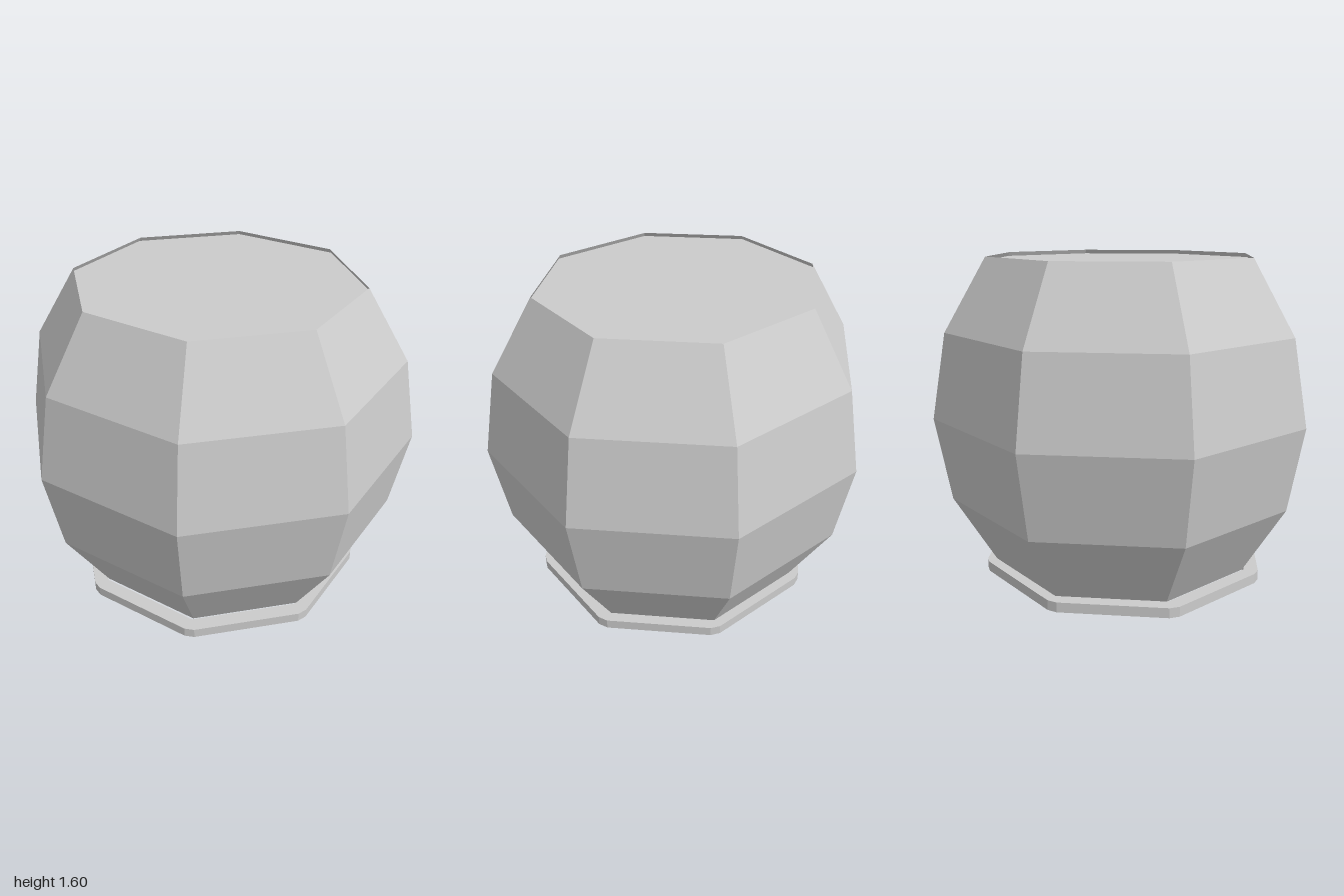
import * as THREE from 'three';

const SIDES = 8;
const DEPTH = 0.963; // the plan is slightly narrower in z

const grey = () => new THREE.MeshStandardMaterial({
  color: 0xcccccc, flatShading: true, side: THREE.DoubleSide,
});

function addMesh(group, name, geometry) {
  const mesh = new THREE.Mesh(geometry, grey());
  mesh.name = name;
  group.add(mesh);
  return mesh;
}

// Octagon corners in plan, with a corner on each axis
function octagon(radius) {
  return Array.from({ length: SIDES }, (_, i) => {
    const a = (i / SIDES) * Math.PI * 2;
    return new THREE.Vector2(Math.cos(a) * radius, Math.sin(a) * radius * DEPTH);
  });
}

// Octagon pushed outward by a distance, leaving small chamfers at the corners
function chamferedOctagon(radius, distance) {
  return octagon(radius).flatMap((corner, i) => [-0.5, 0.5].map((k) => {
    const a = ((i + k) / SIDES) * Math.PI * 2;
    return new THREE.Vector2(Math.cos(a), Math.sin(a)).multiplyScalar(distance).add(corner);
  }));
}

export function createModel() {
  const model = new THREE.Group();
  model.name = 'facetedBowl';

  // Bulging shell, open underneath: rings at every 22.5 degrees of a stretched sphere
  const profile = [-2, -1, 0, 1, 2].map((i) => {
    const a = (i * Math.PI) / 8;
    return new THREE.Vector2(Math.cos(a), 0.825 + 1.097 * Math.sin(a));
  });
  const shell = new THREE.LatheGeometry(profile, SIDES);
  shell.scale(1, 1, DEPTH);
  addMesh(model, 'shell', shell);

  // Lid set just below the upper rim
  const lid = new THREE.ShapeGeometry(new THREE.Shape(octagon(0.718)));
  lid.rotateX(-Math.PI / 2);
  addMesh(model, 'lid', lid).position.y = 1.58;

  // Thin base ring, sitting slightly off centre
  const outline = new THREE.Shape(chamferedOctagon(0.707, 0.065));
  outline.holes.push(new THREE.Path(octagon(0.7).reverse()));
  const ring = new THREE.ExtrudeGeometry(outline, { depth: 0.05, bevelEnabled: false });
  ring.rotateX(-Math.PI / 2);
  addMesh(model, 'baseRing', ring).position.set(-0.005, 0, 0.015);

  return model;
}
